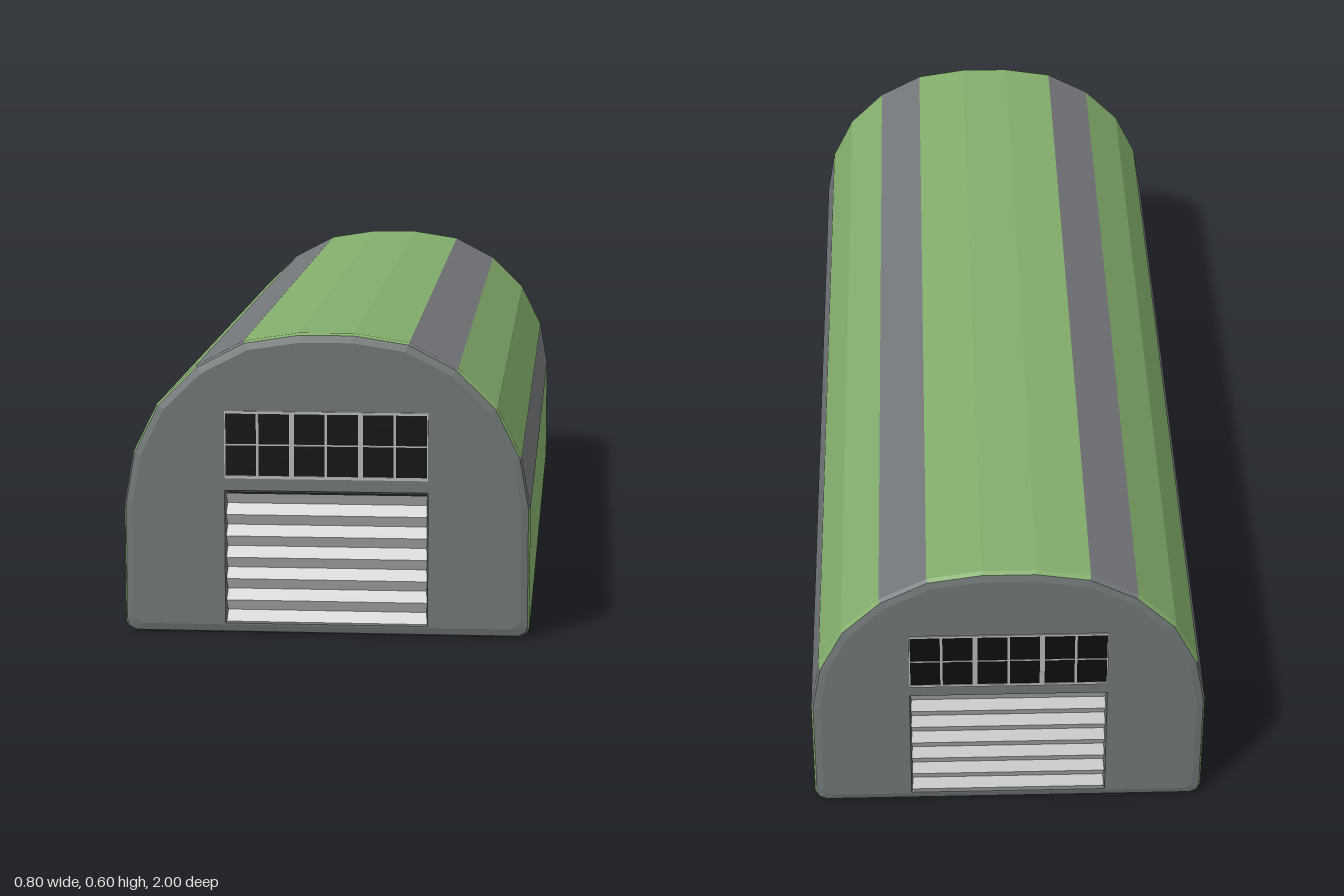
import * as THREE from 'three';

const mat = (color, flat = true) => new THREE.MeshStandardMaterial({ color, flatShading: flat });
const green = mat(0x84ae6c);
const bandGrey = mat(0x74777a);
const wallGrey = mat(0x6e7475);
const frameGrey = mat(0xb4b4b4);
const doorGrey = mat(0xcccccc);
const glassBlack = mat(0x0d0d0d);

const WALL_Z = 0.998;

function add(parent, name, geometry, material) {
  const mesh = new THREE.Mesh(geometry, material);
  mesh.name = name;
  parent.add(mesh);
  return mesh;
}

// Flat-shaded geometry from a list of four-corner faces
function quads(list) {
  const pos = [];
  for (const [a, b, c, d] of list) pos.push(...a, ...b, ...c, ...a, ...c, ...d);
  const geo = new THREE.BufferGeometry();
  geo.setAttribute('position', new THREE.Float32BufferAttribute(pos, 3));
  geo.computeVertexNormals();
  return geo;
}

// Right half of the arched cross-section, bottom to crown, then mirrored
const half = [
  [0.38, 0], [0.395, 0.007], [0.4, 0.018], [0.4, 0.258], [0.382, 0.36],
  [0.334, 0.457], [0.257, 0.533], [0.162, 0.583], [0.054, 0.6],
];
const profile = [...half, ...half.map(([x, y]) => [-x, y]).reverse()];
const inset = (d) => profile.map(([x, y]) => [x * (1 - d / 0.4), 0.3 + (y - 0.3) * (1 - d / 0.3)]);

// Material of each strip of the roof, counted from the ground up
const stripMaterials = [wallGrey, wallGrey, green, bandGrey, green, green, bandGrey, green];
function stripMaterial(i) {
  const n = half.length - 1;
  if (i === profile.length - 1) return wallGrey; // underside
  if (i === n) return green; // crown
  return stripMaterials[i < n ? i : 2 * n - i];
}

// Long shell with rounded rims at both ends
function buildShell() {
  const shell = new THREE.Group();
  shell.name = 'shell';
  const stations = [
    [-WALL_Z, 0.018], [-0.994, 0.004], [-0.985, 0],
    [0.985, 0], [0.994, 0.004], [WALL_Z, 0.018],
  ];
  const rings = stations.map(([z, d]) => inset(d).map(([x, y]) => [x, y, z]));
  const faces = new Map([[green, []], [bandGrey, []], [wallGrey, []]]);
  for (let k = 0; k < rings.length - 1; k++) {
    const rim = k === 0 || k === rings.length - 2;
    for (let i = 0; i < profile.length; i++) {
      const j = (i + 1) % profile.length;
      faces.get(rim ? wallGrey : stripMaterial(i))
        .push([rings[k][i], rings[k][j], rings[k + 1][j], rings[k + 1][i]]);
    }
  }
  add(shell, 'greenPanels', quads(faces.get(green)), green);
  add(shell, 'greyBands', quads(faces.get(bandGrey)), bandGrey);
  add(shell, 'rimsAndFloor', quads(faces.get(wallGrey)), wallGrey);
  return shell;
}

// Rectangle corners, counterclockwise
const rect = (x0, y0, x1, y1, z) => [[x0, y0, z], [x1, y0, z], [x1, y1, z], [x0, y1, z]];

function rectPath(x0, y0, x1, y1) {
  return new THREE.Path(rect(x0, y0, x1, y1, 0).map(([x, y]) => new THREE.Vector2(x, y)));
}

// End wall with a recessed shutter and a row of windows
function buildEnd() {
  const end = new THREE.Group();

  const shape = new THREE.Shape(inset(0.018).map(([x, y]) => new THREE.Vector2(x, y)));
  shape.holes.push(rectPath(-0.2, 0.021, 0.2, 0.288));
  add(end, 'endWall', new THREE.ShapeGeometry(shape).translate(0, 0, WALL_Z), wallGrey);

  // Door reveal, tapering inward
  const outer = rect(-0.2, 0.021, 0.2, 0.288, WALL_Z);
  const inner = rect(-0.195, 0.025, 0.195, 0.279, 0.97);
  add(end, 'doorReveal', quads(outer.map((p, i) => {
    const j = (i + 1) % 4;
    return [p, outer[j], inner[j], inner[i]];
  })), wallGrey);

  // Corrugated shutter: slats alternately tilt up and down
  const slats = 12;
  const step = 0.258 / slats;
  const slatFaces = [];
  for (let i = 0; i < slats; i++) {
    const y = 0.023 + i * step;
    const z0 = i % 2 ? 0.978 : 0.99;
    const z1 = i % 2 ? 0.99 : 0.978;
    slatFaces.push([[-0.198, y, z0], [0.198, y, z0], [0.198, y + step, z1], [-0.198, y + step, z1]]);
  }
  add(end, 'shutterDoor', quads(slatFaces), doorGrey);

  // Three windows of two by two panes, with one shared frame
  const frame = new THREE.Shape(rect(-0.2, 0.312, 0.2, 0.446, 0).map(([x, y]) => new THREE.Vector2(x, y)));
  for (const cx of [-0.135, 0, 0.135]) {
    for (const x of [cx - 0.0625, cx + 0.0025]) {
      for (const y of [0.318, 0.381]) {
        frame.holes.push(rectPath(x, y, x + 0.06, y + 0.06));
      }
    }
  }
  const frameGeo = new THREE.ExtrudeGeometry(frame, { depth: 0.002, bevelEnabled: false });
  add(end, 'windowFrame', frameGeo.translate(0, 0, WALL_Z), frameGrey);
  const glass = new THREE.PlaneGeometry(0.396, 0.13).translate(0, 0.379, WALL_Z + 0.001);
  add(end, 'windowPanes', glass, glassBlack);
  return end;
}

export function createModel() {
  const model = new THREE.Group();
  model.name = 'archedHangar';
  model.add(buildShell());

  const front = buildEnd();
  front.name = 'frontEnd';
  const back = buildEnd();
  back.name = 'backEnd';
  back.rotation.y = Math.PI;
  model.add(front, back);
  return model;
}
